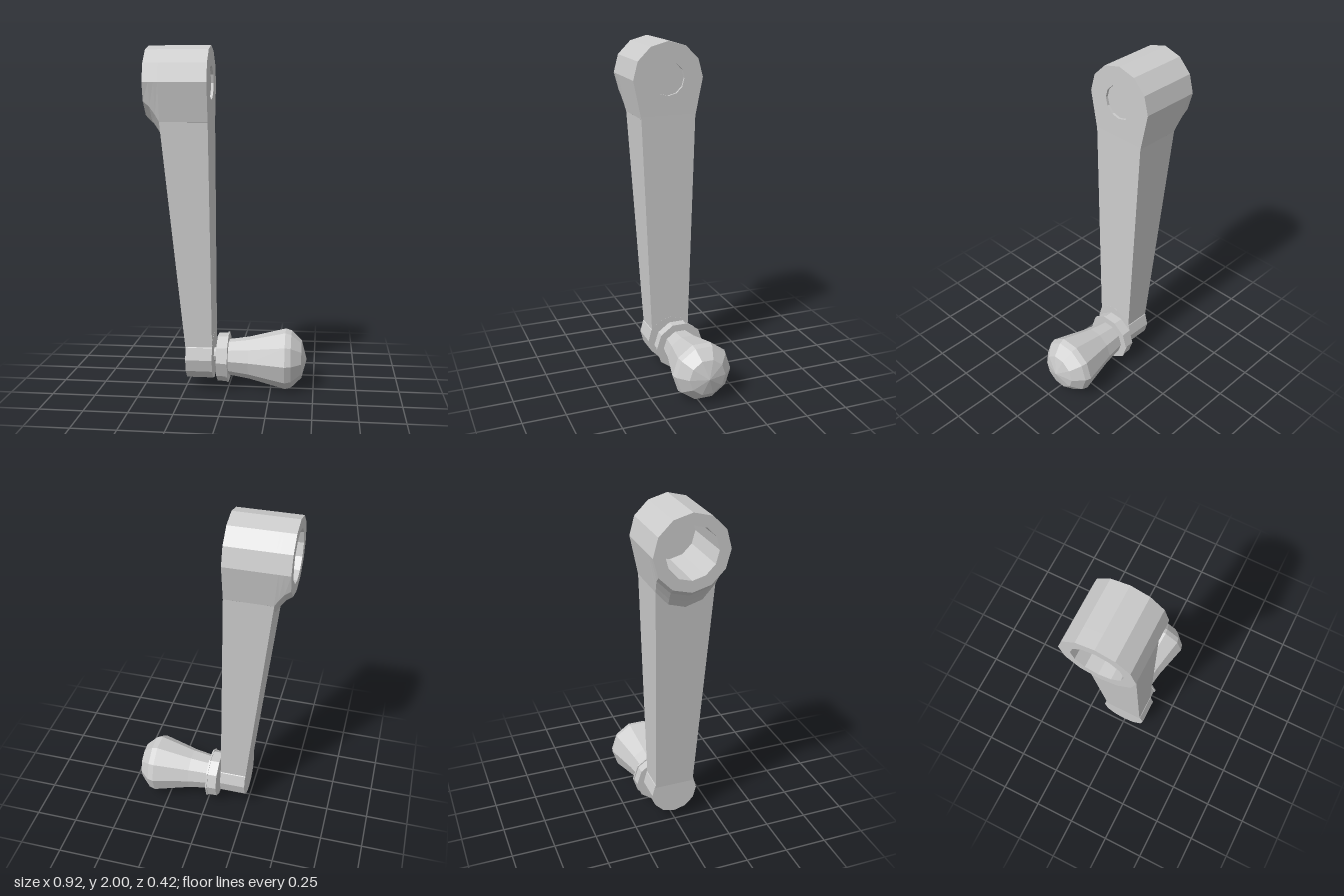
import * as THREE from 'three';

const material = new THREE.MeshStandardMaterial({ color: 0xcccccc, flatShading: true, side: THREE.DoubleSide });

// Skin between successive closed rings of [x, y, z] points.
function loft(rings) {
  const n = rings[0].length;
  const index = [];
  for (let r = 0; r < rings.length - 1; r++) {
    for (let i = 0; i < n; i++) {
      const j = (i + 1) % n;
      const a = r * n + i, b = r * n + j, c = a + n, d = b + n;
      index.push(a, b, c, b, d, c);
    }
  }
  const g = new THREE.BufferGeometry();
  g.setAttribute('position', new THREE.Float32BufferAttribute(rings.flat(2), 3));
  g.setIndex(index);
  const flat = g.toNonIndexed();
  flat.computeVertexNormals();
  return flat;
}

// Twelve-sided hub ring; the five lowest points slide down by `drop` and in by `squeeze`.
function hubRing(x, radius, drop = 0, squeeze = 1) {
  return Array.from({ length: 12 }, (_, i) => {
    const a = (i / 12) * Math.PI * 2;
    const low = i >= 4 && i <= 8;
    return [x, 1.79 + radius * Math.cos(a) - (low ? drop : 0), radius * Math.sin(a) * (low ? squeeze : 1)];
  });
}

// Rectangular arm section at height y.
function armRing(y, back, front, half) {
  return [[front, y, -half], [front, y, half], [back, y, half], [back, y, -half]];
}

// Profile of [x, radius] turned round an axis along x.
function turned(profile, sides) {
  const g = new THREE.LatheGeometry(profile.map(([x, r]) => new THREE.Vector2(r, x)), sides);
  return g.rotateZ(-Math.PI / 2);
}

export function createModel() {
  const group = new THREE.Group();
  const add = (name, geometry, y = 0, z = 0) => {
    const mesh = new THREE.Mesh(geometry, material);
    mesh.name = name;
    mesh.position.set(0, y, z);
    group.add(mesh);
  };

  // Hub: shaft socket at the back, fillet down to the arm, shallow recess in front
  add('hub', loft([
    hubRing(-0.14, 0), hubRing(-0.14, 0.145), hubRing(-0.46, 0.145),
    hubRing(-0.46, 0.21), hubRing(-0.425, 0.21, 0.03, 0.98),
    hubRing(-0.395, 0.21, 0.075, 0.94), hubRing(-0.372, 0.21, 0.115, 0.907),
    hubRing(-0.1, 0.21, 0.115, 0.907),
    hubRing(-0.1, 0.097), hubRing(-0.115, 0.097), hubRing(-0.115, 0),
  ]));

  // Tapered arm
  add('arm', loft([
    armRing(1.58, -0.375, -0.1, 0.165),
    armRing(0.25, -0.24, -0.085, 0.117),
  ]));

  // Rounded lower end of the arm
  add('armEnd', turned([[-0.24, 0], [-0.24, 0.14], [-0.085, 0.14], [-0.085, 0]], 12), 0.195);

  // Pin joining arm and handle
  add('pin', turned([[-0.1, 0.043], [-0.05, 0.043]], 10), 0.195);

  // Collar with thin flange
  add('collar', turned([
    [-0.065, 0], [-0.065, 0.143], [-0.01, 0.143], [-0.01, 0.15], [0, 0.15], [0, 0],
  ], 10), 0.172, -0.032);

  // Flared grip
  add('grip', turned([
    [0, 0.105], [0.12, 0.124], [0.335, 0.178], [0.37, 0.168], [0.43, 0.11], [0.46, 0],
  ], 10), 0.172, -0.032);

  return group;
}
